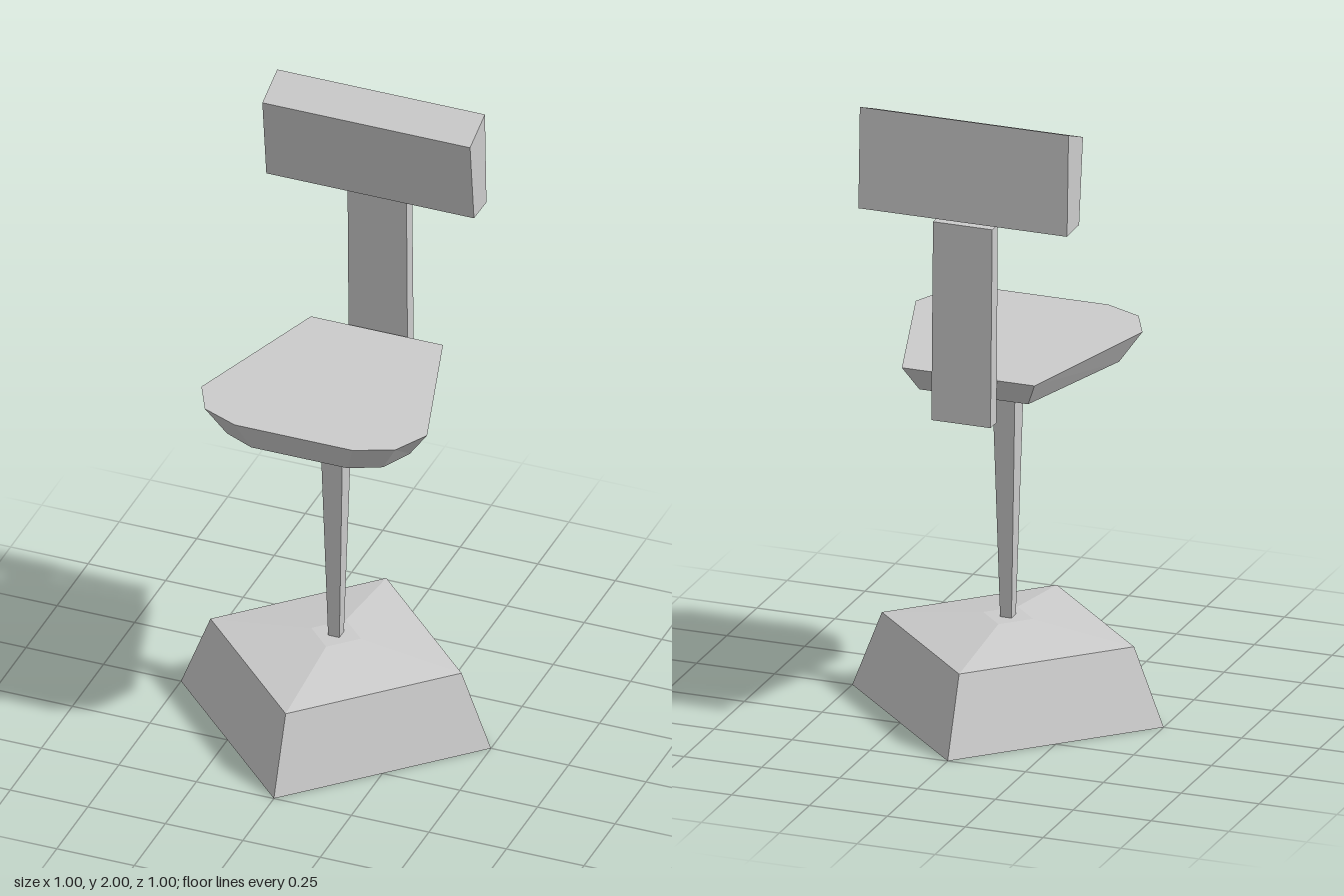
import * as THREE from 'three';

const material = new THREE.MeshStandardMaterial({ color: 0xcccccc, flatShading: true });

function addPart(group, name, geometry) {
  const mesh = new THREE.Mesh(geometry, material);
  mesh.name = name;
  group.add(mesh);
  return mesh;
}

const toShape = (points) => new THREE.Shape(points.map(([a, b]) => new THREE.Vector2(a, b)));

// Side profile given as [z, y], extruded across x and centred
function sideExtrude(profile, width) {
  const geometry = new THREE.ExtrudeGeometry(toShape(profile), { depth: width, bevelEnabled: false });
  geometry.translate(0, 0, -width / 2);
  geometry.rotateY(-Math.PI / 2);
  return geometry;
}

// Seat slab: plan outline with a sloping top and a smaller underside
function seatGeometry() {
  const half = [[0.19, 0.342], [0.307, 0.29], [0.364, 0.175], [0.213, -0.33]];
  const outline = [...half, ...half.map(([x, z]) => [-x, z]).reverse()];
  const geometry = new THREE.ExtrudeGeometry(
    toShape(outline.map(([x, z]) => [x, -z])), { depth: 1, bevelEnabled: false });
  geometry.rotateX(-Math.PI / 2);
  const p = geometry.attributes.position;
  for (let i = 0; i < p.count; i++) {
    const x = p.getX(i), z = p.getZ(i);
    if (p.getY(i) > 0.5) p.setY(i, 1.18 + 0.03 * z);
    else p.setXYZ(i, x * 0.82, 1.09, z * 0.86);
  }
  geometry.computeVertexNormals();
  return geometry;
}

export function createModel() {
  const chair = new THREE.Group();
  chair.name = 'chair';

  // Four-sided base with its corners on the axes
  const baseProfile = [[0, 0], [0.5, 0], [0.405, 0.245], [0.08, 0.29], [0, 0.29]]
    .map(([r, y]) => new THREE.Vector2(r, y));
  addPart(chair, 'base', new THREE.LatheGeometry(baseProfile, 4));

  // Square post, widening upward to the seat
  const post = new THREE.CylinderGeometry(0.038 * Math.SQRT2, 0.018 * Math.SQRT2, 0.81, 4);
  post.rotateY(Math.PI / 4);
  post.translate(0, 0.685, 0);
  addPart(chair, 'post', post);

  addPart(chair, 'seat', seatGeometry());

  // Upright strip behind the seat
  addPart(chair, 'backSupport', sideExtrude(
    [[-0.34, 1.04], [-0.39, 1.04], [-0.376, 1.67], [-0.33, 1.67]], 0.19));

  // Wide backrest block
  addPart(chair, 'backrest', sideExtrude(
    [[-0.275, 1.683], [-0.375, 1.68], [-0.363, 2], [-0.243, 1.953]], 0.67));

  return chair;
}
